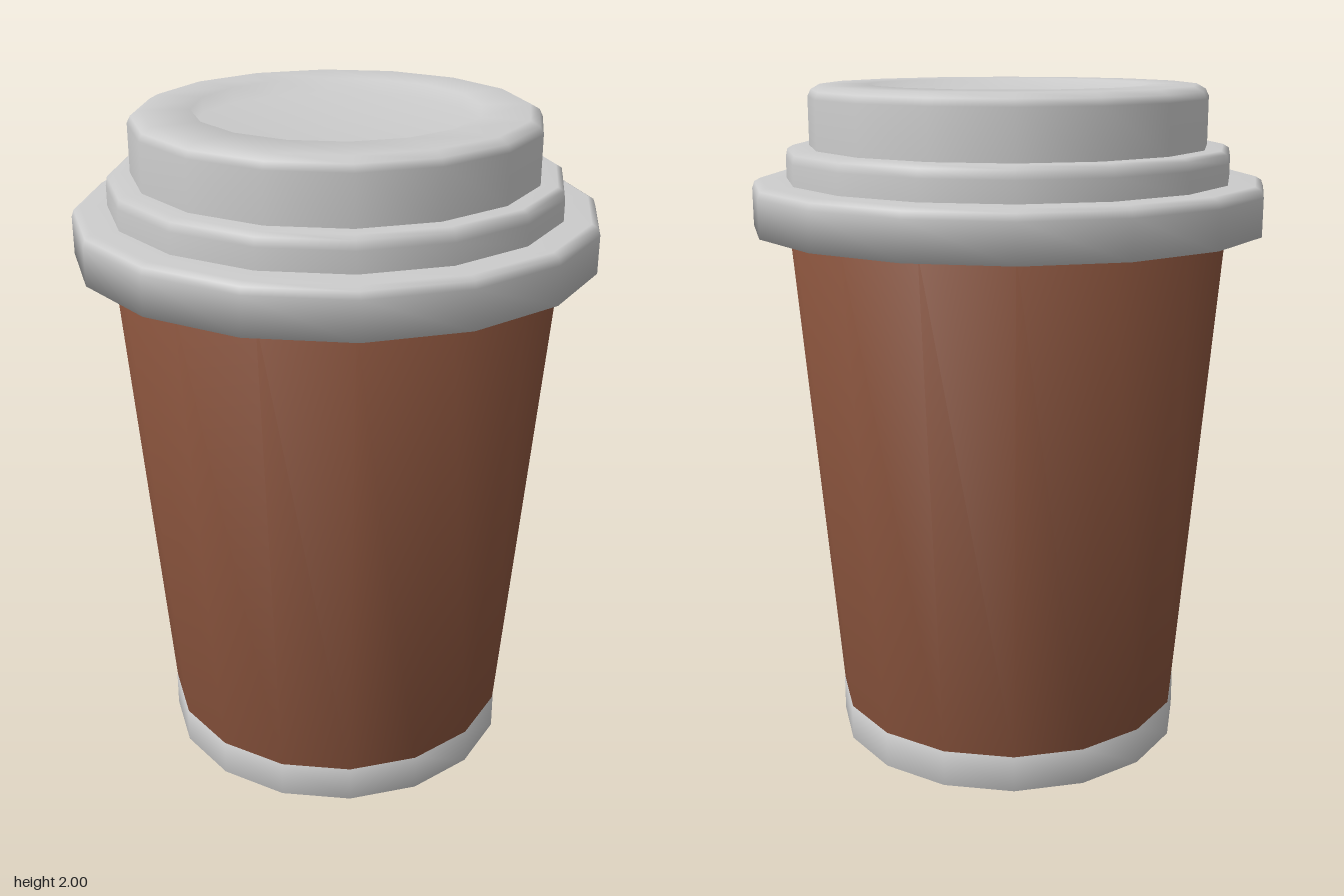
import * as THREE from 'three';

const SIDES = 16;

export function createModel() {
  const group = new THREE.Group();
  group.name = 'takeawayCup';

  const plastic = new THREE.MeshStandardMaterial({ color: 0xcccccc });
  plastic.name = 'pale grey';
  const card = new THREE.MeshStandardMaterial({ color: 0x84503a });
  card.name = 'brown card';

  // Turn a [radius, height] profile, listed from the underside outward and up
  function turned(name, material, profile) {
    const points = profile.map(([r, y]) => new THREE.Vector2(r, y));
    const mesh = new THREE.Mesh(new THREE.LatheGeometry(points, SIDES), material);
    mesh.name = name;
    group.add(mesh);
  }

  // Base band with a shallow recessed underside
  turned('base', plastic, [
    [0, 0.045], [0.51, 0.045], [0.51, 0], [0.537, 0], [0.537, 0.11], [0.5, 0.11],
  ]);

  // Tapered cup wall, closed under the lid
  turned('cupWall', card, [[0.535, 0.11], [0.657, 1.6], [0, 1.6]]);

  // Lid: wide flange, narrow step, raised top with a shallow sunken centre
  turned('lidFlange', plastic, [
    [0.6, 1.59], [0.76, 1.59], [0.76, 1.7], [0.753, 1.72], [0.735, 1.73], [0.6, 1.73],
  ]);
  turned('lidStep', plastic, [
    [0.657, 1.73], [0.657, 1.79], [0.652, 1.815], [0.635, 1.825], [0.55, 1.825],
  ]);
  turned('lidTop', plastic, [
    [0.587, 1.825], [0.587, 1.965], [0.577, 1.985], [0.55, 2],
    [0.41, 2], [0.41, 1.955], [0, 1.955],
  ]);

  return group;
}
